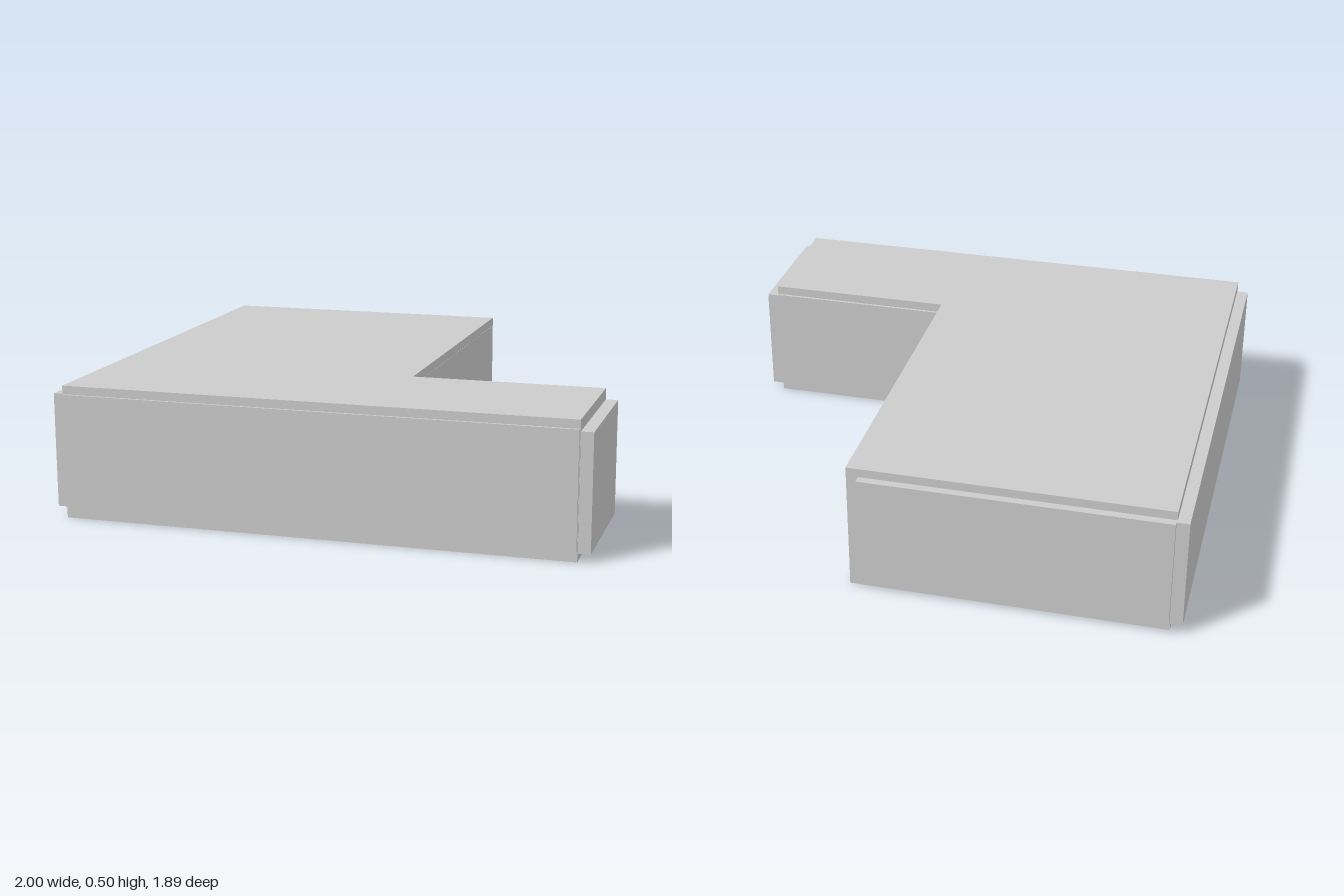
import * as THREE from 'three';

export function createModel() {
  const group = new THREE.Group();
  const material = new THREE.MeshStandardMaterial({ color: 0xcccccc, flatShading: true });

  const add = (name, geometry) => {
    const mesh = new THREE.Mesh(geometry, material);
    mesh.name = name;
    group.add(mesh);
    return mesh;
  };

  // L-shaped body, drawn as a plan (x, -z) and extruded upward
  const plan = [
    [-0.955, 0.933], [0.955, 0.933], [0.955, 0.416],
    [0.23, 0.416], [0.23, -0.914], [-0.955, -0.914],
  ];
  const shape = new THREE.Shape(plan.map(([x, z]) => new THREE.Vector2(x, -z)));
  const body = new THREE.ExtrudeGeometry(shape, { depth: 0.5, bevelEnabled: false });
  body.rotateX(-Math.PI / 2);
  add('body', body);

  // Raised panels on the walls, each given by its x, y and z extents
  const panel = (name, [x0, x1], [y0, y1], [z0, z1]) => {
    const mesh = add(name, new THREE.BoxGeometry(x1 - x0, y1 - y0, z1 - z0));
    mesh.position.set((x0 + x1) / 2, (y0 + y1) / 2, (z0 + z1) / 2);
  };
  panel('frontPanel', [-0.953, 0.953], [0.04, 0.468], [0.92, 0.943]);
  panel('backPanel', [-0.953, 0.185], [0.04, 0.467], [-0.945, -0.9]);
  panel('rightSidePanel', [-1, -0.94], [0.036, 0.465], [-0.927, 0.914]);
  panel('leftEndPanel', [0.94, 1], [0.03, 0.458], [0.413, 0.927]);
  panel('notchBackPanel', [0.22, 0.948], [0.036, 0.465], [0.405, 0.43]);
  panel('notchSidePanel', [0.2, 0.231], [0.036, 0.465], [-0.9, 0.41]);

  return group;
}
